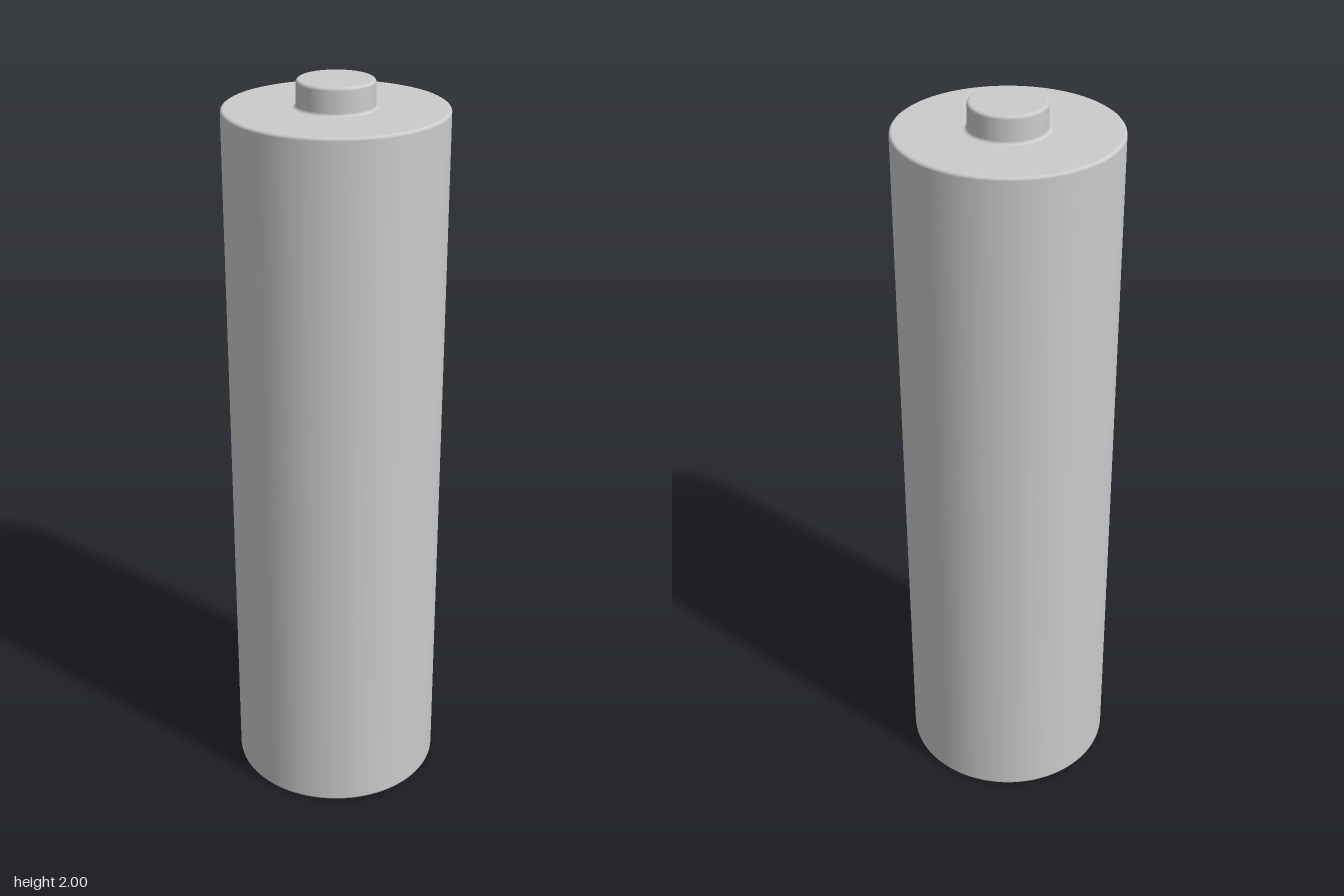
import * as THREE from 'three';

const SEGMENTS = 96;
const R = 0.286;      // casing radius
const TOP = 1.93;     // casing shoulder height
const NUB = 0.099;    // terminal radius
const BEVEL = 0.008;  // rounding of every edge

// Points of a small arc between two angles (degrees)
function arc(cx, cy, r, from, to, steps = 4) {
  return Array.from({ length: steps + 1 }, (_, i) => {
    const a = THREE.MathUtils.degToRad(from + ((to - from) * i) / steps);
    return new THREE.Vector2(cx + r * Math.cos(a), cy + r * Math.sin(a));
  });
}

function lathe(name, points, material) {
  const mesh = new THREE.Mesh(new THREE.LatheGeometry(points, SEGMENTS), material);
  mesh.name = name;
  return mesh;
}

export function createModel() {
  const group = new THREE.Group();
  group.name = 'battery';
  const material = new THREE.MeshStandardMaterial({ color: 0xcccccc });

  // Casing: flat base, straight wall and shoulder with rounded rims
  group.add(lathe('casing', [
    new THREE.Vector2(0, 0),
    ...arc(R - BEVEL, BEVEL, BEVEL, -90, 0),
    ...arc(R - BEVEL, TOP - BEVEL, BEVEL, 0, 90),
    new THREE.Vector2(NUB + BEVEL, TOP),
  ], material));

  // Terminal: filleted foot, short wall, rounded rim and flat cap
  group.add(lathe('terminal', [
    ...arc(NUB + BEVEL, TOP + BEVEL, BEVEL, 270, 180),
    ...arc(NUB - BEVEL, 2 - BEVEL, BEVEL, 0, 90),
    new THREE.Vector2(0, 2),
  ], material));

  return group;
}
